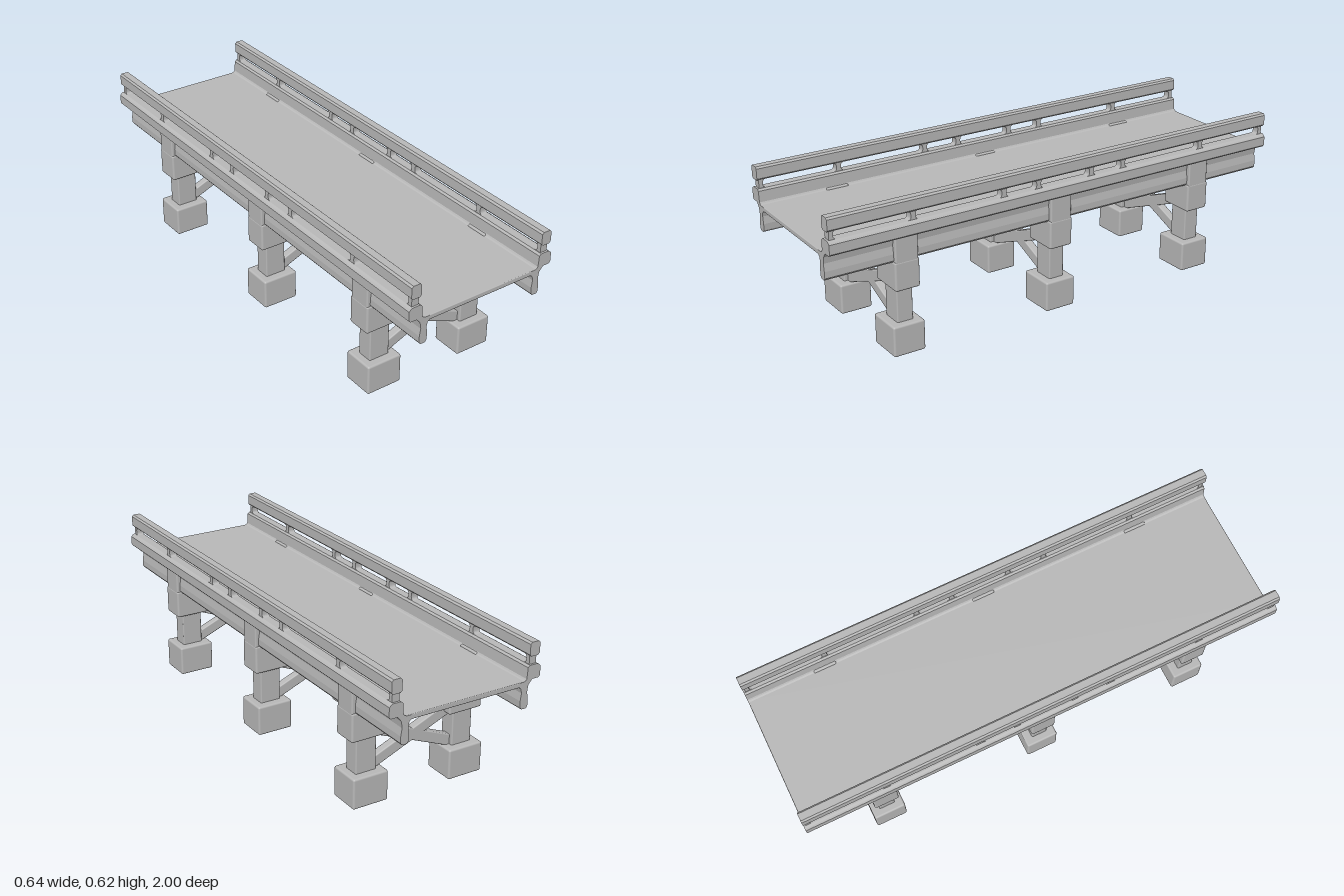
import * as THREE from 'three';
import { RoundedBoxGeometry } from 'three/addons/geometries/RoundedBoxGeometry.js';

const concrete = new THREE.MeshStandardMaterial({ color: 0xb8b8b8 });
concrete.name = 'concrete grey';

function add(parent, name, geometry) {
  const mesh = new THREE.Mesh(geometry, concrete);
  mesh.name = name;
  parent.add(mesh);
  return mesh;
}

// Softened block given by its limits on each axis
function block(parent, name, x0, x1, y0, y1, z0, z1, radius = 0.008) {
  const geometry = new RoundedBoxGeometry(x1 - x0, y1 - y0, z1 - z0, 2, radius);
  geometry.translate((x0 + x1) / 2, (y0 + y1) / 2, (z0 + z1) / 2);
  return add(parent, name, geometry);
}

// Cross-section run along z, mirrored by the sign of side
function run(parent, name, points, side, z0, z1) {
  const shape = new THREE.Shape(points.map(([x, y]) => new THREE.Vector2(x * side, y)));
  const geometry = new THREE.ExtrudeGeometry(shape, { depth: z1 - z0, bevelEnabled: false });
  geometry.translate(0, 0, z0);
  return add(parent, name, geometry);
}

// Rounded opening between two posts
function slot(z0, z1, y0, y1) {
  const r = (y1 - y0) / 2.6;
  const path = new THREE.Path();
  path.moveTo(z0 + r, y0);
  path.lineTo(z1 - r, y0);
  path.quadraticCurveTo(z1, y0, z1, y0 + r);
  path.lineTo(z1, y1 - r);
  path.quadraticCurveTo(z1, y1, z1 - r, y1);
  path.lineTo(z0 + r, y1);
  path.quadraticCurveTo(z0, y1, z0, y1 - r);
  path.lineTo(z0, y0 + r);
  path.quadraticCurveTo(z0, y0, z0 + r, y0);
  return path;
}

// Edge beam: web, bottom flange and flared top under the curb
const GIRDER = [
  [0.246, 0.376], [0.266, 0.376], [0.272, 0.384], [0.272, 0.41], [0.267, 0.44],
  [0.271, 0.466], [0.288, 0.487], [0.262, 0.49], [0.258, 0.485], [0.25, 0.481],
  [0.23, 0.481], [0.23, 0.464], [0.238, 0.458], [0.242, 0.44], [0.238, 0.41], [0.24, 0.384],
];
const CURB = [
  [0.27, 0.485], [0.314, 0.485], [0.321, 0.492], [0.321, 0.529], [0.315, 0.535],
  [0.307, 0.54], [0.273, 0.54], [0.265, 0.533], [0.262, 0.49],
];
const RAIL = [
  [0.277, 0.573], [0.306, 0.573], [0.313, 0.58], [0.313, 0.62], [0.306, 0.627],
  [0.277, 0.627], [0.27, 0.62], [0.27, 0.58],
];
const POSTS = [-0.985, -0.663, -0.273, -0.122, 0.122, 0.277, 0.66, 0.985];

function parapet(parent, side) {
  run(parent, 'girder', GIRDER, side, -1, 1);
  run(parent, 'curb', CURB, side, -1, 1);
  run(parent, 'handrail', RAIL, side, -1, 1);

  // Pierced strip that forms the posts
  const strip = new THREE.Shape();
  strip.moveTo(-0.992, 0.533);
  strip.lineTo(0.992, 0.533);
  strip.lineTo(0.992, 0.58);
  strip.lineTo(-0.992, 0.58);
  for (let i = 0; i < POSTS.length - 1; i++) {
    strip.holes.push(slot(POSTS[i] + 0.01, POSTS[i + 1] - 0.01, 0.54, 0.574));
  }
  const geometry = new THREE.ExtrudeGeometry(strip, { depth: 0.03, bevelEnabled: false, curveSegments: 5 });
  geometry.rotateY(-Math.PI / 2);
  geometry.translate(0.29 * side + 0.015, 0, 0);
  add(parent, 'railPosts', geometry);
}

function pier(z) {
  const group = new THREE.Group();
  group.name = 'pier';
  for (const side of [-1, 1]) {
    const part = (name, a, b, y0, y1, halfDepth, radius) =>
      block(group, name, Math.min(a * side, b * side), Math.max(a * side, b * side), y0, y1, -halfDepth, halfDepth, radius);
    part('footing', 0.137, 0.287, 0.002, 0.125, 0.066);
    part('column', 0.17, 0.257, 0.11, 0.28, 0.033, 0.005);
    part('pierCap', 0.14, 0.287, 0.264, 0.38, 0.051);
    part('girderBracket', 0.25, 0.286, 0.34, 0.488, 0.047, 0.006);

    // Diagonal brace crossing between the columns
    const tilt = Math.atan(0.41);
    const brace = add(group, 'crossBrace', new RoundedBoxGeometry(0.4, 0.045, 0.034, 2, 0.005));
    brace.position.y = 0.21;
    brace.rotation.z = tilt * side;
  }
  group.position.z = z;
  return group;
}

export function createModel() {
  const model = new THREE.Group();
  model.name = 'bridge';

  block(model, 'deck', -0.262, 0.262, 0.463, 0.482, -1, 1, 0.003);

  for (const side of [-1, 1]) {
    const edge = new THREE.Group();
    edge.name = side > 0 ? 'leftParapet' : 'rightParapet';
    parapet(edge, side);
    model.add(edge);
  }

  for (const z of [-0.678, 0.004, 0.68]) model.add(pier(z));
  return model;
}
